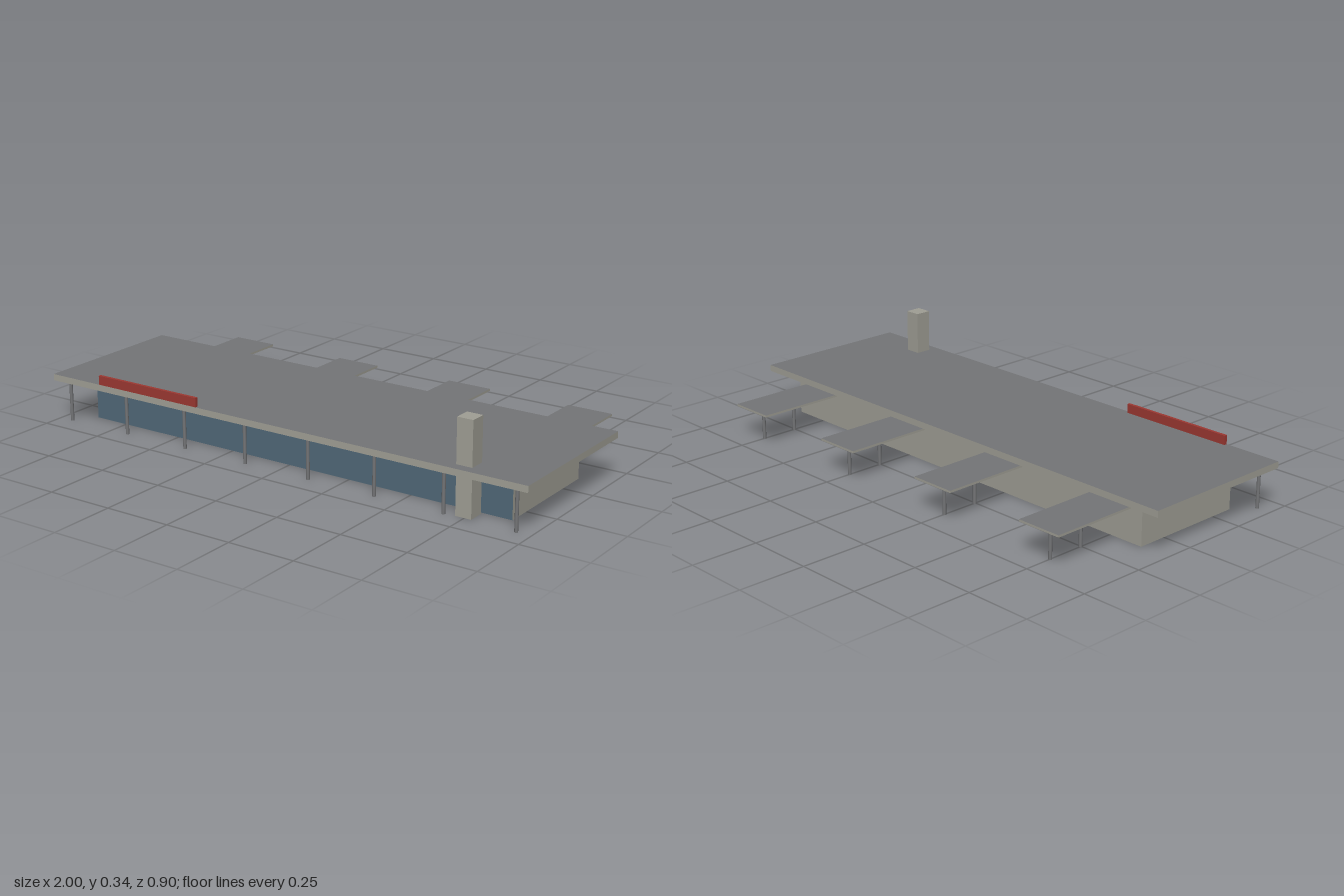
import * as THREE from 'three';

export function createModel() {
  const mat = (name, color, side = THREE.FrontSide) => {
    const m = new THREE.MeshStandardMaterial({ color, side });
    m.name = name;
    return m;
  };
  const concrete = mat('concrete', 0xa09f95, THREE.DoubleSide);
  const roofing = mat('grey roofing', 0x747577);
  const glass = mat('blue glass', 0x506878, THREE.DoubleSide);
  const red = mat('sign red', 0x9c3832);

  const model = new THREE.Group();
  model.name = 'pavilion';

  const add = (name, geometry, material, x, y, z, ry = 0) => {
    const mesh = new THREE.Mesh(geometry, material);
    mesh.name = name;
    mesh.position.set(x, y, z);
    mesh.rotation.y = ry;
    model.add(mesh);
    return mesh;
  };
  // Box given by its minimum and maximum corners
  const box = (name, material, [x0, y0, z0], [x1, y1, z1]) =>
    add(name, new THREE.BoxGeometry(x1 - x0, y1 - y0, z1 - z0), material,
      (x0 + x1) / 2, (y0 + y1) / 2, (z0 + z1) / 2);
  // Slabs have pale edges and grey top and underside
  const slab = [concrete, concrete, roofing, roofing, concrete, concrete];
  const post = (name, x, z, height) =>
    add(name, new THREE.CylinderGeometry(0.0065, 0.0065, height, 10), roofing, x, height / 2, z);

  // Main roof
  box('roof', slab, [-1, 0.154, -0.167], [1, 0.178, 0.449]);

  // Thin walls, open underneath
  const H = 0.154, W = 0.887, zBack = -0.111, zFront = 0.34;
  const depth = zFront - zBack, zMid = (zFront + zBack) / 2;
  add('glassFront', new THREE.PlaneGeometry(2 * W, H), glass, 0, H / 2, zFront);
  add('backWall', new THREE.PlaneGeometry(2 * W, H), concrete, 0, H / 2, zBack, Math.PI);
  for (const s of [-1, 1]) {
    add(s > 0 ? 'leftWall' : 'rightWall', new THREE.PlaneGeometry(depth, H), concrete,
      s * W, H / 2, zMid, s * Math.PI / 2);
  }

  // Row of front columns
  for (let i = 0; i < 8; i++) post('frontColumn', -0.945 + i * 0.27, 0.418, H);

  // Tower through the roof and sign on its front edge
  box('tower', concrete, [0.716, 0, 0.351], [0.776, 0.339, 0.412]);
  box('signPanel', red, [-0.776, 0.178, 0.437], [-0.326, 0.212, 0.449]);

  // Rear canopies, each on two posts
  for (const x of [-0.75, -0.25, 0.25, 0.75]) {
    box('canopy', slab, [x - 0.088, 0.12, -0.449], [x + 0.088, 0.128, zBack]);
    for (const z of [-0.253, -0.394]) post('canopyPost', x, z, 0.12);
  }
  return model;
}
